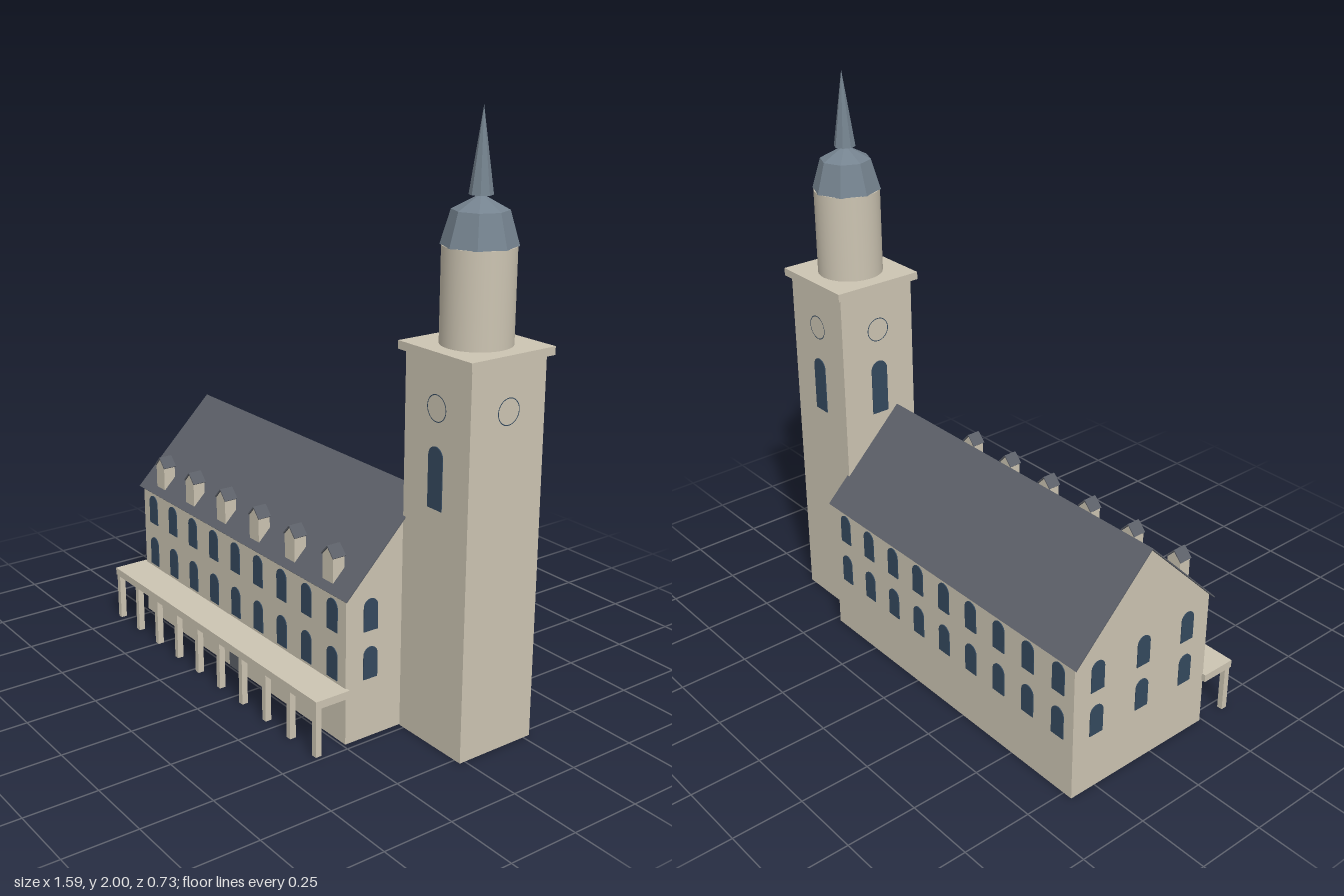
import * as THREE from 'three';

const mat = (name, color, side = THREE.FrontSide) => {
  const m = new THREE.MeshStandardMaterial({ color, side });
  m.name = name;
  return m;
};

export function createModel() {
  const stone = mat('stone', 0xccc4b2, THREE.DoubleSide);
  const slate = mat('slate', 0x5c6068, THREE.DoubleSide);
  const glass = mat('glass', 0x34495e, THREE.DoubleSide);
  const spireMetal = mat('spireMetal', 0x75838f);
  spireMetal.flatShading = true;

  const model = new THREE.Group();
  model.name = 'townHall';

  const add = (name, geo, material, x = 0, y = 0, z = 0, ry = 0, parent = model) => {
    const m = new THREE.Mesh(geo, material);
    m.name = name;
    m.position.set(x, y, z);
    m.rotation.y = ry;
    parent.add(m);
    return m;
  };
  const box = (name, w, h, d, material, x, y, z) =>
    add(name, new THREE.BoxGeometry(w, h, d), material, x, y, z);

  // Thin plate with a round-arched top, base at y = 0
  const archPlate = (w, h) => {
    const r = w / 2;
    const s = new THREE.Shape();
    s.moveTo(-r, 0);
    s.lineTo(r, 0);
    s.lineTo(r, h - r);
    s.absarc(0, h - r, r, 0, Math.PI, false);
    s.closePath();
    return new THREE.ExtrudeGeometry(s, { depth: 0.003, bevelEnabled: false, curveSegments: 10 });
  };
  // Pentagon wall outline: rectangle with a gable on top
  const gable = (w, eave, top) => new THREE.Shape([
    new THREE.Vector2(-w / 2, 0), new THREE.Vector2(w / 2, 0),
    new THREE.Vector2(w / 2, eave), new THREE.Vector2(0, top),
    new THREE.Vector2(-w / 2, eave)]);

  // Hall dimensions
  const cx = -0.155, cz = -0.055, len = 1.26, depth = 0.59;
  const x0 = cx - len / 2, x1 = cx + len / 2;
  const zf = cz + depth / 2, zb = cz - depth / 2;
  const HALF = Math.PI / 2;

  // Hall walls, open underneath
  const longWall = new THREE.PlaneGeometry(len, 0.508);
  add('frontWall', longWall, stone, cx, 0.254, zf);
  add('backWall', longWall, stone, cx, 0.254, zb, Math.PI);
  const endWall = new THREE.ShapeGeometry(gable(depth, 0.508, 0.802));
  add('leftEndWall', endWall, stone, x1, 0, cz, HALF);
  add('rightEndWall', endWall, stone, x0, 0, cz, -HALF);

  // Pitched roof, two thin slopes
  const run = 0.305, slope = run * Math.SQRT2;
  for (const s of [1, -1]) {
    const g = new THREE.BoxGeometry(len + 0.03, 0.004, slope);
    g.rotateX(s * Math.PI / 4);
    add(s > 0 ? 'frontRoof' : 'backRoof', g, slate, cx, 0.653, cz + s * run / 2);
  }

  // Hall windows: two rows round the building
  const win = archPlate(0.055, 0.11);
  for (const y of [0.207, 0.373]) {
    for (let i = -4; i <= 4; i++) {
      add('frontWindow', win, glass, cx + i * 0.14, y, zf);
      add('backWindow', win, glass, cx + i * 0.14, y, zb, Math.PI);
    }
    for (let i = -1; i <= 1; i++) {
      add('leftEndWindow', win, glass, x1, y, cz + i * 0.198, HALF);
      add('rightEndWindow', win, glass, x0, y, cz + i * 0.198, -HALF);
    }
  }
  add('door', archPlate(0.09, 0.127), slate, cx, 0, zf);

  // Arcade along the front
  box('arcadeRoof', len + 0.03, 0.027, 0.13, stone, cx, 0.183, 0.3);
  for (let i = 0; i < 10; i++)
    box('arcadePillar', 0.02, 0.172, 0.022, stone, x0 + i * 0.14, 0.086, 0.352);

  // Dormers
  const dormerGeo = new THREE.ExtrudeGeometry(gable(0.055, 0.083, 0.112), { depth: 0.045, bevelEnabled: false });
  for (let i = 0; i < 6; i++) {
    const d = new THREE.Group();
    d.name = 'dormer';
    d.position.set(-0.675 + i * 0.208, 0.525, 0.185);
    add('dormerBody', dormerGeo, stone, 0, 0, 0, 0, d);
    for (const s of [1, -1]) {
      const g = new THREE.BoxGeometry(0.046, 0.004, 0.05);
      g.rotateZ(-s * 0.82);
      add('dormerRoof', g, slate, s * 0.0158, 0.101, 0.0225, 0, d);
    }
    model.add(d);
  }

  // Tower
  const tx = 0.627, tz = -0.128, tw = 0.297;
  box('towerShaft', tw, 1.27, tw, stone, tx, 0.635, tz);
  box('towerCornice', 0.332, 0.027, 0.332, stone, tx, 1.284, tz);
  add('towerDrum', new THREE.CylinderGeometry(0.113, 0.113, 0.3, 32), stone, tx, 1.446, tz);

  // Faceted cupola and needle spire
  add('cupola', new THREE.CylinderGeometry(0.087, 0.118, 0.105, 8), spireMetal, tx, 1.6475, tz);
  add('cupolaCap', new THREE.ConeGeometry(0.087, 0.047, 8), spireMetal, tx, 1.7235, tz);
  add('spire', new THREE.ConeGeometry(0.037, 0.257, 8), spireMetal, tx, 1.8715, tz);

  // Clock rings on all four sides, tall windows on all but the outer side
  const ring = new THREE.RingGeometry(0.0405, 0.0435, 32);
  const tall = archPlate(0.065, 0.2);
  for (let k = 0; k < 4; k++) {
    const a = k * HALF, off = tw / 2;
    const px = tx + Math.sin(a) * off, pz = tz + Math.cos(a) * off;
    add('clockRing', ring, glass, px + Math.sin(a) * 0.002, 1.12, pz + Math.cos(a) * 0.002, a);
    if (k !== 1) add('towerWindow', tall, glass, px, 0.8, pz, a);
  }
  return model;
}
